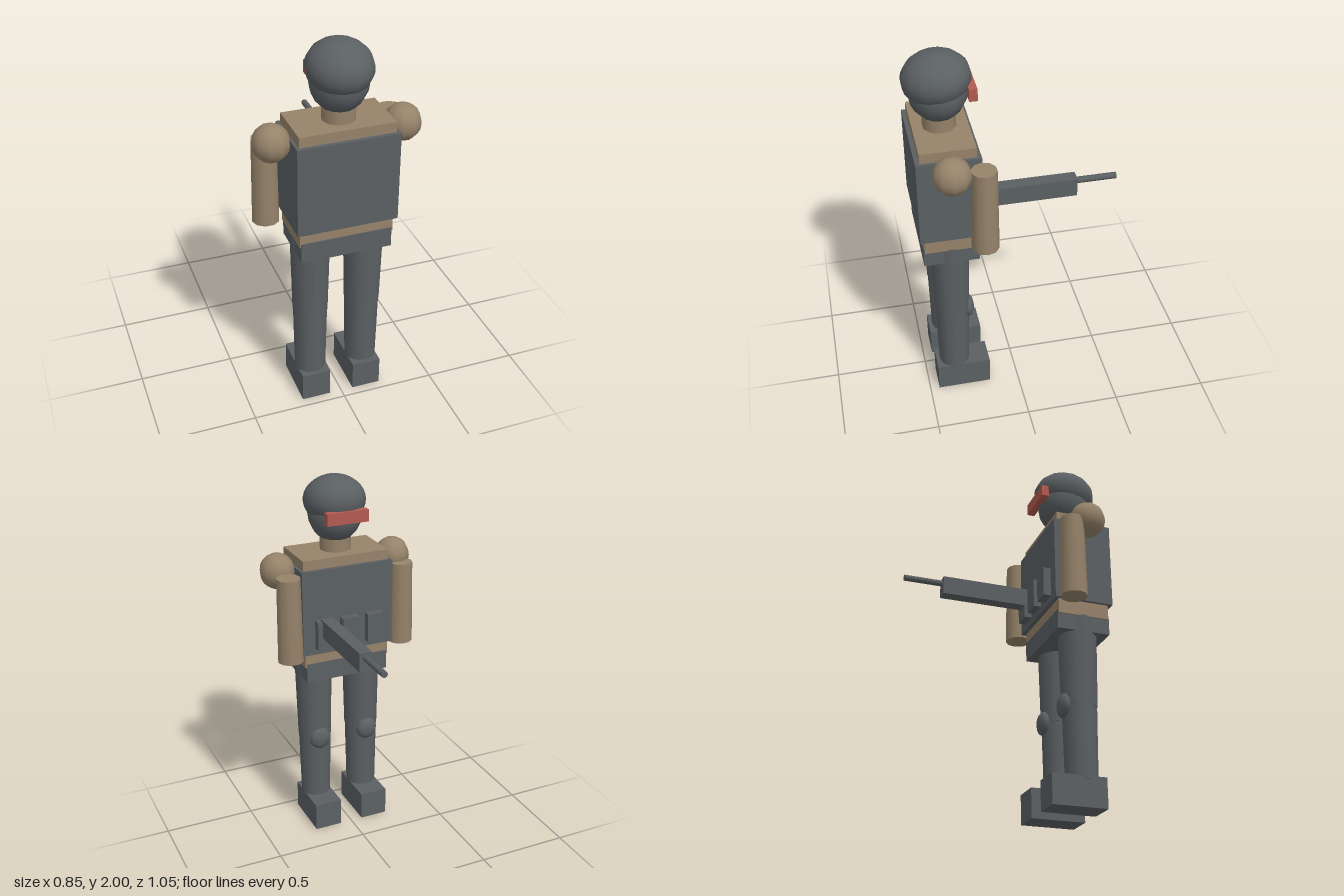
import * as THREE from 'three';

export function createModel() {
  const model = new THREE.Group();
  model.name = 'armouredFigure';
  const material = (name, color) => {
    const m = new THREE.MeshStandardMaterial({ color });
    m.name = name;
    return m;
  };
  const grey = material('slate grey', 0x5b6063);
  const tan = material('khaki tan', 0x96836a);
  const red = material('visor red', 0xb25b52);

  const add = (name, geometry, mat, x, y, z) => {
    const mesh = new THREE.Mesh(geometry, mat);
    mesh.name = name;
    mesh.position.set(x, y, z);
    model.add(mesh);
    return mesh;
  };
  // Box given by its lower and upper limits on each axis
  const box = (name, mat, [x0, x1], [y0, y1], [z0, z1]) =>
    add(name, new THREE.BoxGeometry(x1 - x0, y1 - y0, z1 - z0), mat,
      (x0 + x1) / 2, (y0 + y1) / 2, (z0 + z1) / 2);
  // Upright tapered cylinder between two heights, with corners on the x axis
  const limb = (name, mat, rTop, rBottom, sides, x, [y0, y1], z) =>
    add(name, new THREE.CylinderGeometry(rTop, rBottom, y1 - y0, sides, 1, false, Math.PI / 2),
      mat, x, (y0 + y1) / 2, z);
  const ball = (name, mat, [rx, ry, rz], sides, x, y, z, sweep = Math.PI) =>
    add(name, new THREE.SphereGeometry(1, sides, 10, 0, Math.PI * 2, 0, sweep).scale(rx, ry, rz),
      mat, x, y, z);

  // Head, helmet and visor; the figure looks towards -z
  ball('head', grey, [0.145, 0.155, 0.148], 14, 0, 1.8, 0.35);
  const helmet = ball('helmet', grey, [0.164, 0.132, 0.171], 14, 0, 1.868, 0.355, Math.PI * 0.65);
  helmet.rotation.x = 0.12;
  // Inner face closing the helmet rim
  const rim = new THREE.CircleGeometry(1, 14).rotateX(Math.PI / 2)
    .scale(0.146, 1, 0.152).translate(0, -0.06, 0);
  const lining = new THREE.Mesh(rim, grey);
  lining.name = 'helmetLining';
  helmet.add(lining);
  box('visor', red, [-0.115, 0.115], [1.782, 1.846], [0.176, 0.217]);
  limb('neck', tan, 0.085, 0.085, 10, 0, [1.58, 1.69], 0.35);

  // Body, vest and hips
  box('torso', tan, [-0.242, 0.242], [1.005, 1.605], [0.208, 0.485]);
  box('vest', grey, [-0.258, 0.258], [1.085, 1.552], [0.186, 0.506]);
  box('hips', grey, [-0.235, 0.235], [0.92, 1.025], [0.204, 0.491]);
  for (const x of [-0.145, 0, 0.143])
    box('pouch', grey, [x - 0.047, x + 0.047], [1.12, 1.28], [0.145, 0.2]);

  // Shoulders and legs, mirrored
  for (const side of [-1, 1]) {
    ball('shoulder', tan, [0.094, 0.096, 0.096], 10, side * 0.333, 1.527, 0.345);
    limb('upperLeg', grey, 0.104, 0.093, 12, side * 0.143, [0.53, 1.01], 0.347);
    limb('lowerLeg', grey, 0.091, 0.083, 12, side * 0.143, [0.14, 0.56], 0.347);
    ball('kneePad', grey, [0.062, 0.065, 0.034], 10, side * 0.143, 0.532, 0.263);
    box('boot', grey, [side * 0.142 - 0.077, side * 0.142 + 0.077], [0, 0.157], [0.16, 0.45]);
  }

  // Arms, the left one held further forward
  limb('leftArm', tan, 0.064, 0.07, 10, 0.33, [1.075, 1.535], 0.192);
  limb('rightArm', tan, 0.064, 0.07, 10, -0.341, [1.055, 1.51], 0.253);

  // Long tool pointing forward
  box('toolBody', grey, [0.097, 0.164], [1.19, 1.29], [-0.317, 0.17]);
  const barrel = add('toolBarrel', new THREE.CylinderGeometry(0.017, 0.017, 0.23, 8), grey,
    0.131, 1.262, -0.412);
  barrel.rotation.x = Math.PI / 2;

  return model;
}
